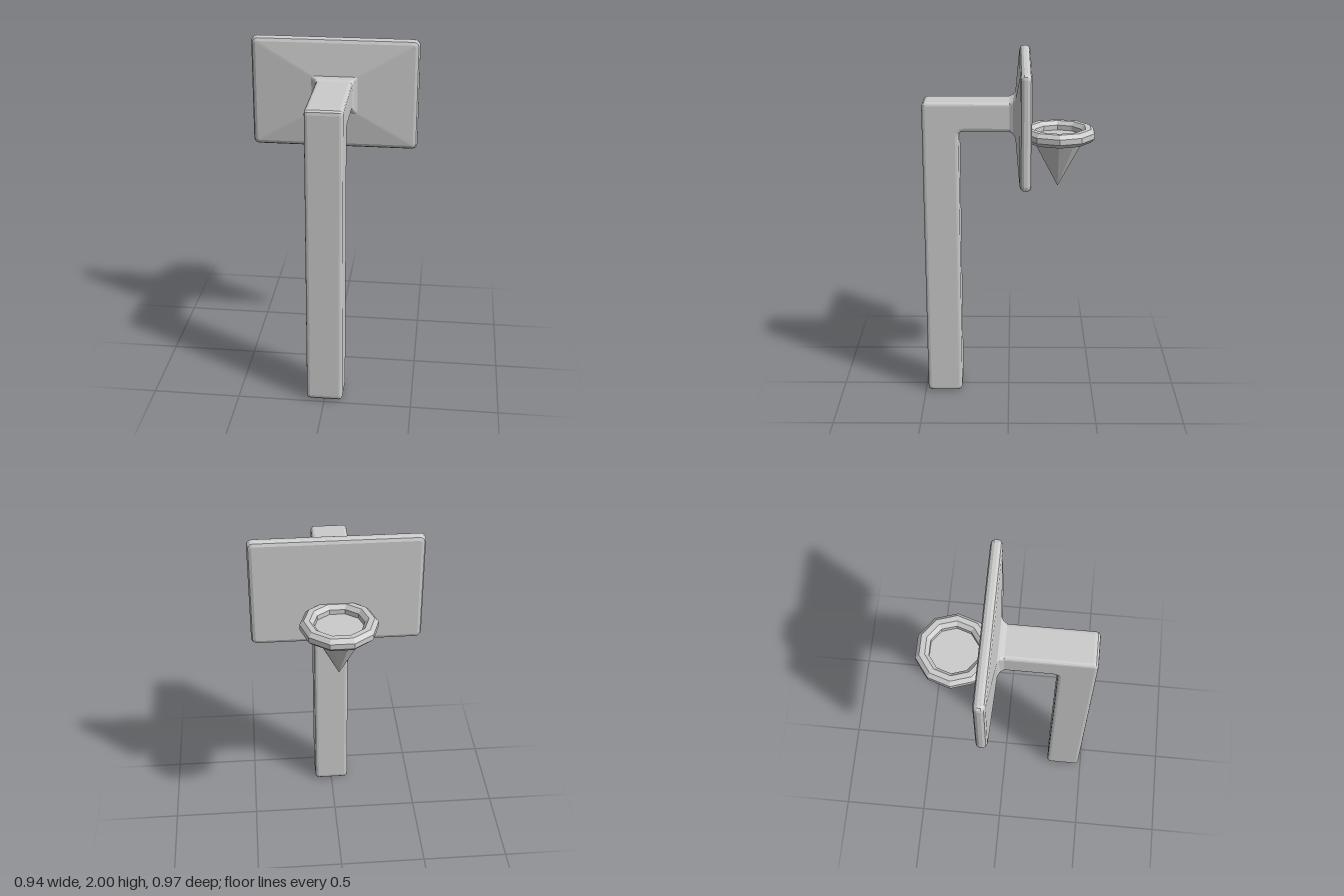
import * as THREE from 'three';

const material = new THREE.MeshStandardMaterial({ color: 0xcccccc, flatShading: true });

function addMesh(group, name, geometry) {
  const mesh = new THREE.Mesh(geometry, material);
  mesh.name = name;
  group.add(mesh);
  return mesh;
}

// Outline with every corner rounded by a short curve
function roundedShape(corners, radius) {
  const shape = new THREE.Shape();
  const points = corners.map(([x, y]) => new THREE.Vector2(x, y));
  points.forEach((p, i) => {
    const prev = points[(i + points.length - 1) % points.length];
    const next = points[(i + 1) % points.length];
    const a = p.clone().add(prev.clone().sub(p).setLength(radius));
    const b = p.clone().add(next.clone().sub(p).setLength(radius));
    if (i === 0) shape.moveTo(a.x, a.y);
    else shape.lineTo(a.x, a.y);
    shape.quadraticCurveTo(p.x, p.y, b.x, b.y);
  });
  shape.closePath();
  return shape;
}

// Rounded rectangle cross-section, counterclockwise seen from +z
function rectangleRing([z, halfWidth, bottom, top, radius]) {
  const ring = [];
  const corners = [[1, -1], [1, 1], [-1, 1], [-1, -1]];
  corners.forEach(([sx, sy], c) => {
    const cx = sx * (halfWidth - radius);
    const cy = sy > 0 ? top - radius : bottom + radius;
    for (let k = 0; k <= 3; k++) {
      const angle = (c - 1 + k / 3) * Math.PI / 2;
      ring.push([cx + radius * Math.cos(angle), cy + radius * Math.sin(angle), z]);
    }
  });
  return ring;
}

// Skin over the cross-sections from back to front, closed at the back
function loft(sections) {
  const rings = sections.map(rectangleRing);
  const n = rings[0].length;
  const positions = rings.flat(2);
  const index = [];
  for (let i = 0; i < rings.length - 1; i++) {
    for (let j = 0; j < n; j++) {
      const a = i * n + j, b = i * n + (j + 1) % n;
      index.push(a, b, b + n, a, b + n, a + n);
    }
  }
  for (let j = 1; j < n - 1; j++) index.push(0, j + 1, j);
  const geometry = new THREE.BufferGeometry();
  geometry.setAttribute('position', new THREE.Float32BufferAttribute(positions, 3));
  geometry.setIndex(index);
  geometry.computeVertexNormals();
  return geometry;
}

export function createModel() {
  const model = new THREE.Group();
  model.name = 'basketballHoop';

  // Post and arm: one L-shaped profile in z and y, extruded across x
  const bevel = 0.02, width = 0.206;
  const profile = roundedShape([
    [0.485, 0], [0.485, 1.77], [-0.06, 1.77], [-0.06, 1.605], [0.28, 1.605], [0.28, 0],
  ], 0.03);
  const post = new THREE.ExtrudeGeometry(profile, {
    depth: width - 2 * bevel, curveSegments: 3,
    bevelSize: bevel, bevelThickness: bevel, bevelOffset: -bevel, bevelSegments: 3,
  });
  post.translate(0, 0, bevel - width / 2).rotateY(-Math.PI / 2);
  addMesh(model, 'postAndArm', post);

  // Backboard: rounded rim, sloping front, and a flare down to the arm
  addMesh(model, 'backboard', loft([
    [-0.125, 0.447, 1.390, 1.975, 0.012],
    [-0.118, 0.464, 1.373, 1.992, 0.025],
    [-0.102, 0.472, 1.365, 2.000, 0.030],
    [-0.083, 0.472, 1.365, 2.000, 0.030],
    [-0.068, 0.464, 1.373, 1.992, 0.025],
    [-0.060, 0.447, 1.390, 1.975, 0.012],
    [-0.037, 0.130, 1.578, 1.792, 0.012],
    [-0.025, 0.113, 1.592, 1.779, 0.014],
    [-0.004, 0.104, 1.604, 1.771, 0.018],
  ]));

  // Rim: ten-sided ring with an eight-sided section
  const section = [];
  for (let i = 0; i <= 8; i++) {
    const angle = (i + 0.5) * Math.PI / 4;
    section.push(new THREE.Vector2(0.174 + 0.0405 * Math.cos(angle), 0.0405 * Math.sin(angle)));
  }
  // Lathe profiles run upward on the outside
  const rim = new THREE.LatheGeometry(section, 10, Math.PI / 2);
  addMesh(model, 'rim', rim).position.set(0, 1.5725, -0.281);

  // Net: solid cone hanging point down inside the rim
  const net = new THREE.CylinderGeometry(0.157, 0, 0.295, 10, 1, false, Math.PI / 2);
  addMesh(model, 'net', net).position.set(0, 1.4125, -0.28);

  return model;
}
